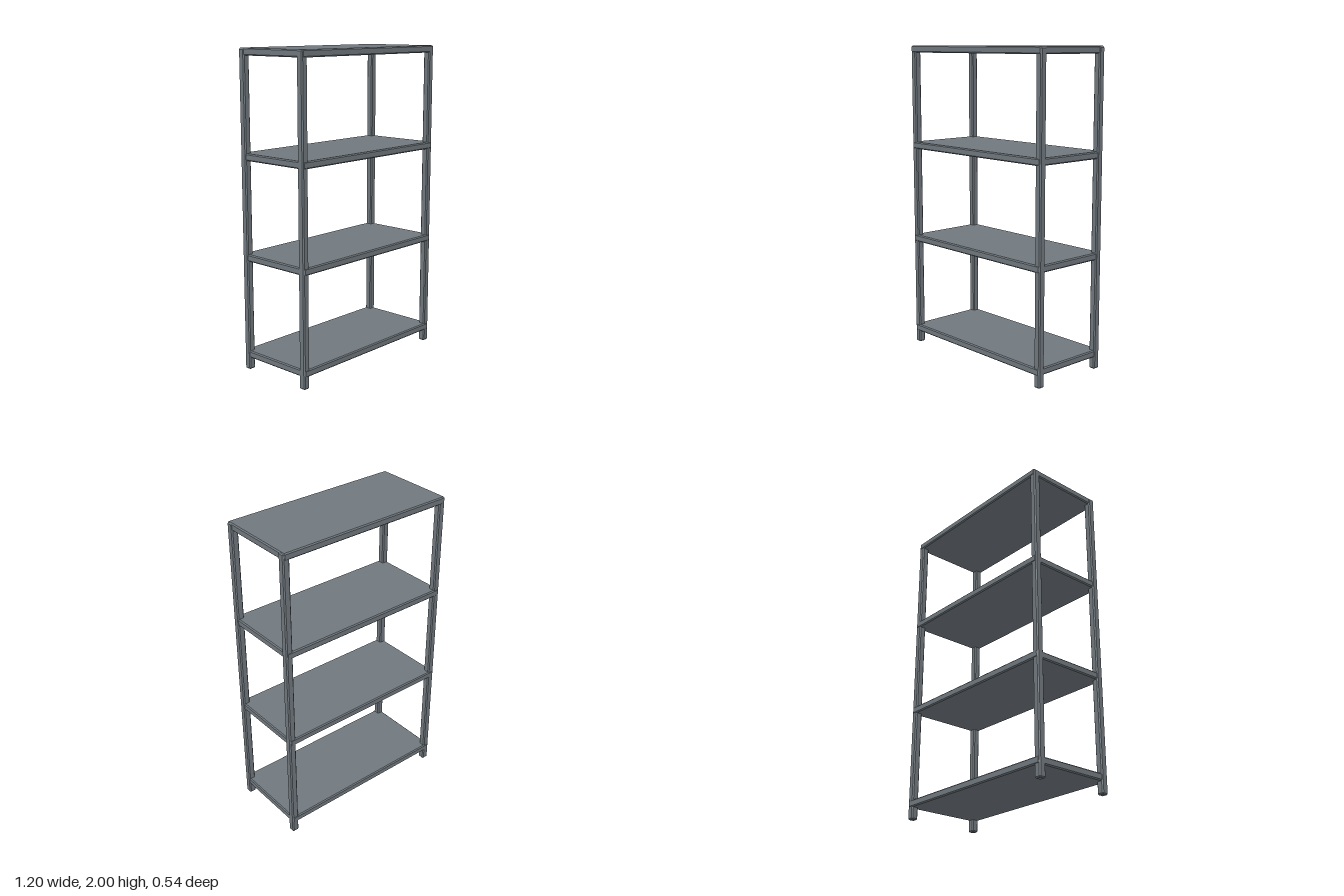
import * as THREE from 'three';
import { ConvexGeometry } from 'three/addons/geometries/ConvexGeometry.js';

// Box with a flat chamfer on all twelve edges
function chamferBox(w, h, d, c) {
  const points = [];
  for (const x of [-w / 2, w / 2]) for (const y of [-h / 2, h / 2]) for (const z of [-d / 2, d / 2]) {
    const sx = Math.sign(x) * c, sy = Math.sign(y) * c, sz = Math.sign(z) * c;
    points.push(
      new THREE.Vector3(x, y - sy, z - sz),
      new THREE.Vector3(x - sx, y, z - sz),
      new THREE.Vector3(x - sx, y - sy, z)
    );
  }
  return new ConvexGeometry(points);
}

export function createModel() {
  const group = new THREE.Group();
  group.name = 'shelvingUnit';

  const steel = new THREE.MeshStandardMaterial({ color: 0x70787e });
  steel.name = 'greySteel';

  const add = (name, geometry, x, y, z) => {
    const mesh = new THREE.Mesh(geometry, steel);
    mesh.name = name;
    mesh.position.set(x, y, z);
    group.add(mesh);
  };

  // Four corner posts
  const postWidth = 0.045, postHeight = 1.997;
  const post = chamferBox(postWidth, postHeight, postWidth, 0.007);
  for (const [side, sx] of [['Left', 1], ['Right', -1]]) {
    for (const [end, sz] of [['front', 1], ['back', -1]]) {
      add(`${end}${side}Post`, post, sx * (0.6 - postWidth / 2), postHeight / 2, sz * (0.265 - postWidth / 2));
    }
  }

  // Four evenly spaced shelves, slightly proud of the posts at front and back
  const thickness = 0.045;
  const shelf = chamferBox(1.192, thickness, 0.535, 0.007);
  for (let i = 0; i < 4; i++) {
    const top = THREE.MathUtils.lerp(0.122, 2, i / 3);
    add(`shelf${i + 1}`, shelf, 0, top - thickness / 2, 0);
  }

  return group;
}
